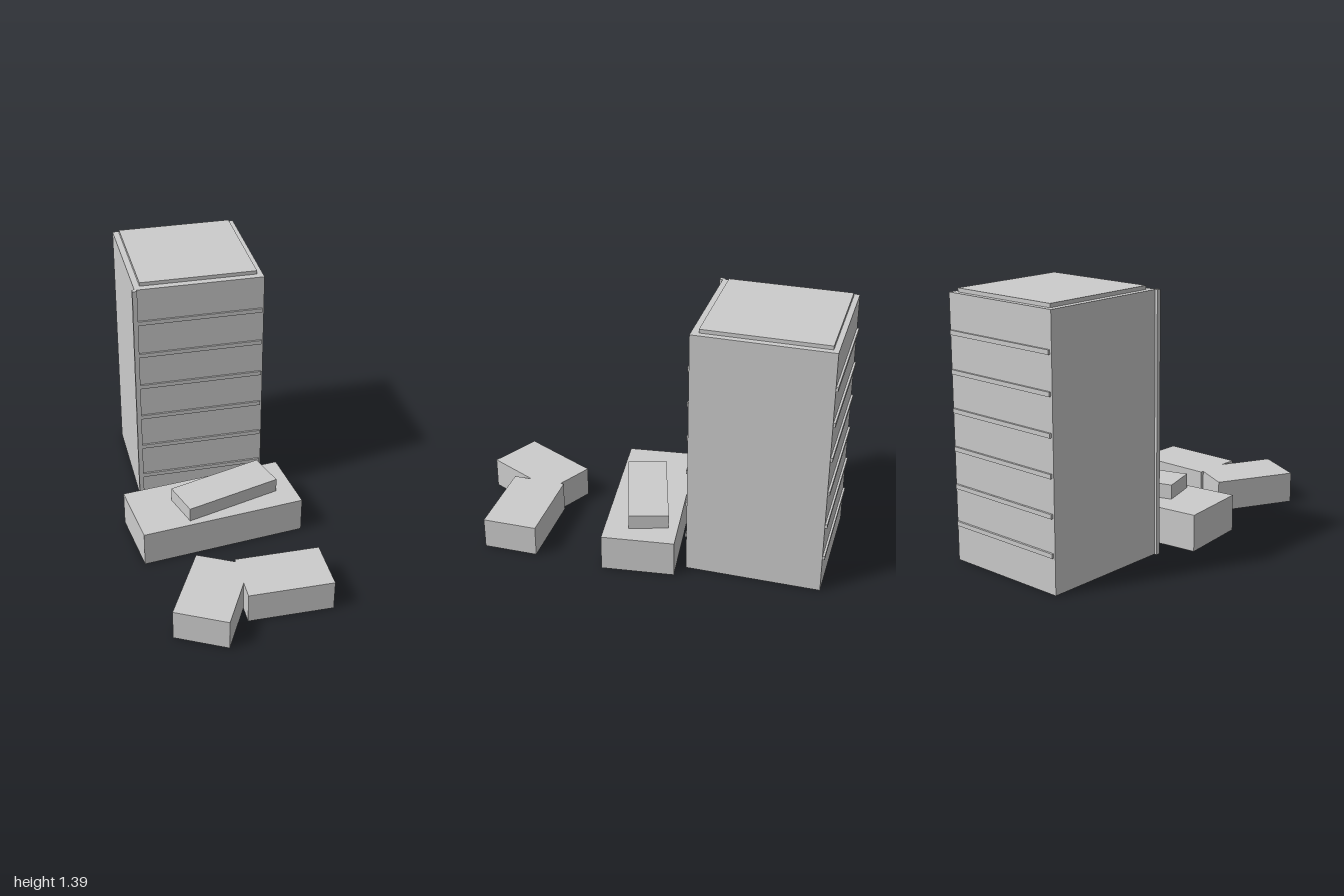
import * as THREE from 'three';

export function createModel() {
  const group = new THREE.Group();
  const concrete = new THREE.MeshStandardMaterial({ color: 0xcccccc });
  concrete.name = 'light grey';

  const add = (name, geometry) => {
    const mesh = new THREE.Mesh(geometry, concrete);
    mesh.name = name;
    group.add(mesh);
    return mesh;
  };

  // Box given by its limits on each axis
  const block = (name, [x0, x1], [y0, y1], [z0, z1]) =>
    add(name, new THREE.BoxGeometry(x1 - x0, y1 - y0, z1 - z0))
      .position.set((x0 + x1) / 2, (y0 + y1) / 2, (z0 + z1) / 2);

  // Upright prism over a ground plan of [x, z] corners
  const prism = (name, plan, y0, y1) => {
    const shape = new THREE.Shape(plan.map(([x, z]) => new THREE.Vector2(x, -z)));
    const geometry = new THREE.ExtrudeGeometry(shape, { depth: y1 - y0, bevelEnabled: false });
    add(name, geometry.rotateX(-Math.PI / 2).translate(0, y0, 0));
  };

  // Tower with its roof slab and corner pillar
  block('tower', [-0.35, 0.345], [0, 1.375], [-0.989, -0.27]);
  block('roofSlab', [-0.317, 0.313], [1.375, 1.395], [-0.961, -0.309]);
  block('cornerPillar', [-0.364, -0.339], [0, 1.375], [-0.278, -0.254]);

  // Storey ledges on the front and back
  for (let i = 0; i < 6; i++) {
    const top = 0.211 + i * 0.196;
    block('frontLedge', [-0.339, 0.335], [top - 0.023, top], [-0.275, -0.26]);
    block('backLedge', [-0.339, 0.335], [top - 0.023, top], [-1, -0.985]);
  }

  // Turned podium with a smaller block on top
  prism('podium', [[-0.478, -0.115], [0.427, -0.226], [0.473, 0.16], [-0.432, 0.271]], 0, 0.198);
  prism('podiumTop', [[-0.229, 0], [0.294, -0.16], [0.356, 0.044], [-0.167, 0.204]], 0.198, 0.277);

  // Low bent building at the front
  prism('bentBuilding', [
    [-0.19, 0.458], [0, 0.556], [0, 0.537], [0.457, 0.537], [0.457, 0.83],
    [0, 0.83], [0, 0.73], [-0.136, 1], [-0.397, 0.864],
  ], 0, 0.17);

  return group;
}
